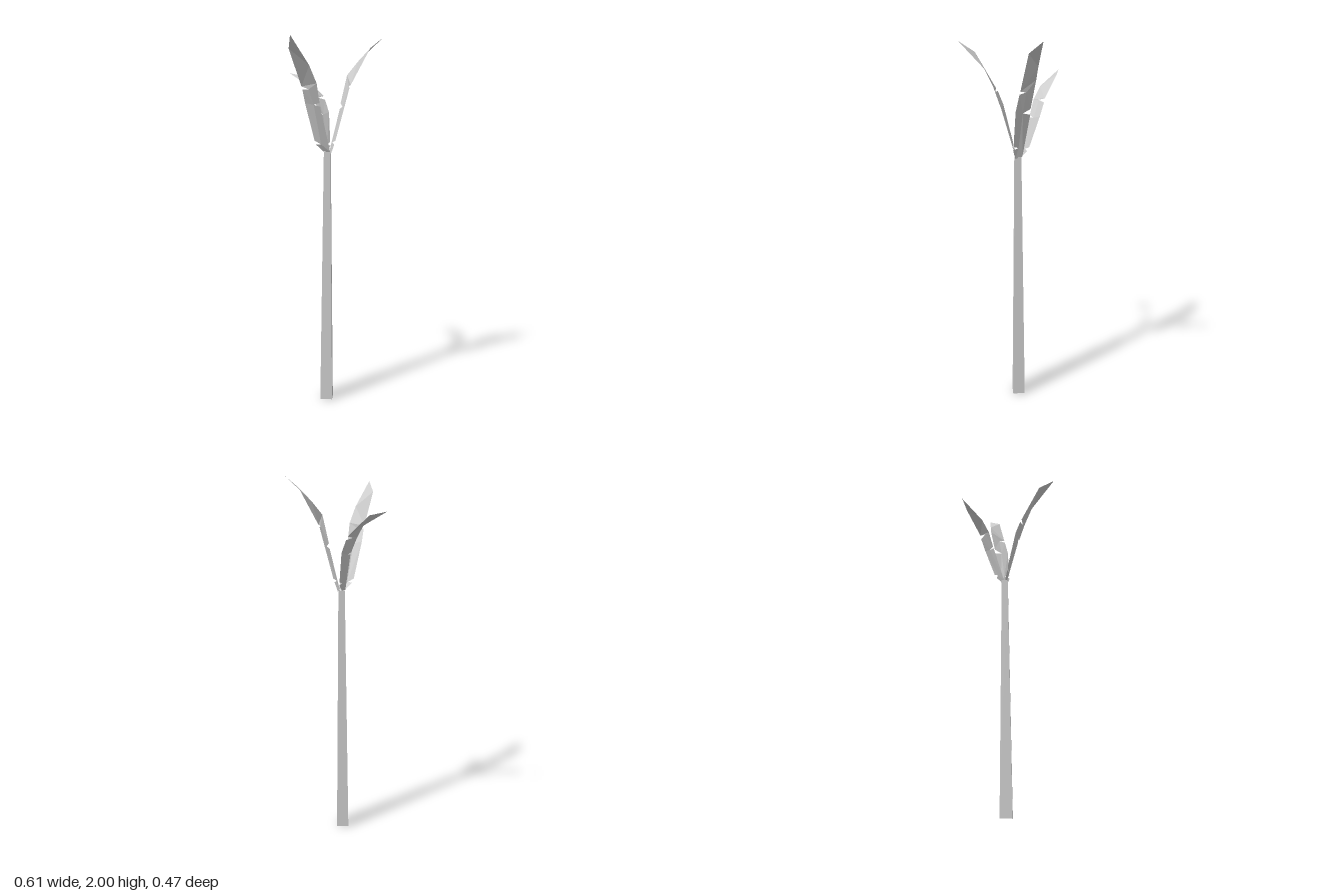
import * as THREE from 'three';

// Outline of each leaf: right edge from base to tip, then left edge from base up.
const LEAVES = {
  leftLeaf: [
    [0.03, 1.38, 0.125], [0.033, 1.43, 0.147], [0.045, 1.44, 0.117], [0.039, 1.45, 0.15], [0.08, 1.64, 0.179],
    [0.109, 1.73, 0.182], [0.13, 1.74, 0.153], [0.116, 1.745, 0.184], [0.212, 1.94, 0.232], [0.305, 2, 0.235],
    [0.048, 1.39, 0.09], [0.112, 1.62, 0.102], [0.096, 1.63, 0.141], [0.116, 1.65, 0.104], [0.157, 1.8, 0.109], [0.2, 1.87, 0.145],
  ],
  rightLeaf: [
    [0.009, 1.39, 0.089], [-0.03, 1.43, 0.068], [-0.015, 1.43, 0.095], [-0.037, 1.45, 0.066], [-0.104, 1.65, 0.068],
    [-0.132, 1.72, 0.08], [-0.118, 1.72, 0.115], [-0.141, 1.735, 0.084], [-0.255, 1.92, 0.123], [-0.305, 1.98, 0.199],
    [0.029, 1.39, 0.118], [-0.055, 1.63, 0.134], [-0.082, 1.64, 0.113], [-0.063, 1.65, 0.138], [-0.096, 1.75, 0.154], [-0.152, 1.84, 0.161],
  ],
  backLeaf: [
    [0.04, 1.39, 0.084], [0.068, 1.42, 0.075], [0.05, 1.43, 0.07], [0.075, 1.44, 0.066], [0.107, 1.6, 0.018],
    [0.107, 1.67, -0.016], [0.064, 1.68, -0.023], [0.104, 1.69, -0.025], [0.079, 1.8, -0.156], [0.029, 1.82, -0.235],
    [0.014, 1.39, 0.082], [0.036, 1.59, 0.021], [0.065, 1.59, 0.018], [0.036, 1.6, 0.016], [0.03, 1.68, -0.023], [0.034, 1.745, -0.073],
  ],
};

// Shared faces: two notches in the right edge (2, 6), one in the left edge (12)
const LEAF_FACES = [
  [0, 1, 2], [0, 2, 10], [2, 3, 4], [2, 4, 12], [10, 2, 12], [10, 12, 11], [12, 4, 5], [12, 5, 6],
  [12, 6, 13], [13, 6, 14], [6, 7, 14], [14, 7, 15], [7, 8, 15], [8, 9, 15],
];

export function createModel() {
  const group = new THREE.Group();

  // Tapered four-sided trunk with open ends, hidden by the leaves and the ground
  const trunkMaterial = new THREE.MeshStandardMaterial({ color: 0xcccccc, flatShading: true });
  const trunk = new THREE.Mesh(new THREE.CylinderGeometry(0.025, 0.047, 1.39, 4, 1, true), trunkMaterial);
  trunk.name = 'trunk';
  trunk.position.set(0.025, 0.695, 0.1);
  group.add(trunk);

  // Three thin, notched leaves
  const leafMaterial = new THREE.MeshStandardMaterial({ color: 0xcccccc, flatShading: true, side: THREE.DoubleSide });
  for (const [name, points] of Object.entries(LEAVES)) {
    const geometry = new THREE.BufferGeometry();
    geometry.setAttribute('position', new THREE.Float32BufferAttribute(points.flat(), 3));
    geometry.setIndex(LEAF_FACES.flat());
    geometry.computeVertexNormals();
    const leaf = new THREE.Mesh(geometry, leafMaterial);
    leaf.name = name;
    group.add(leaf);
  }
  return group;
}
